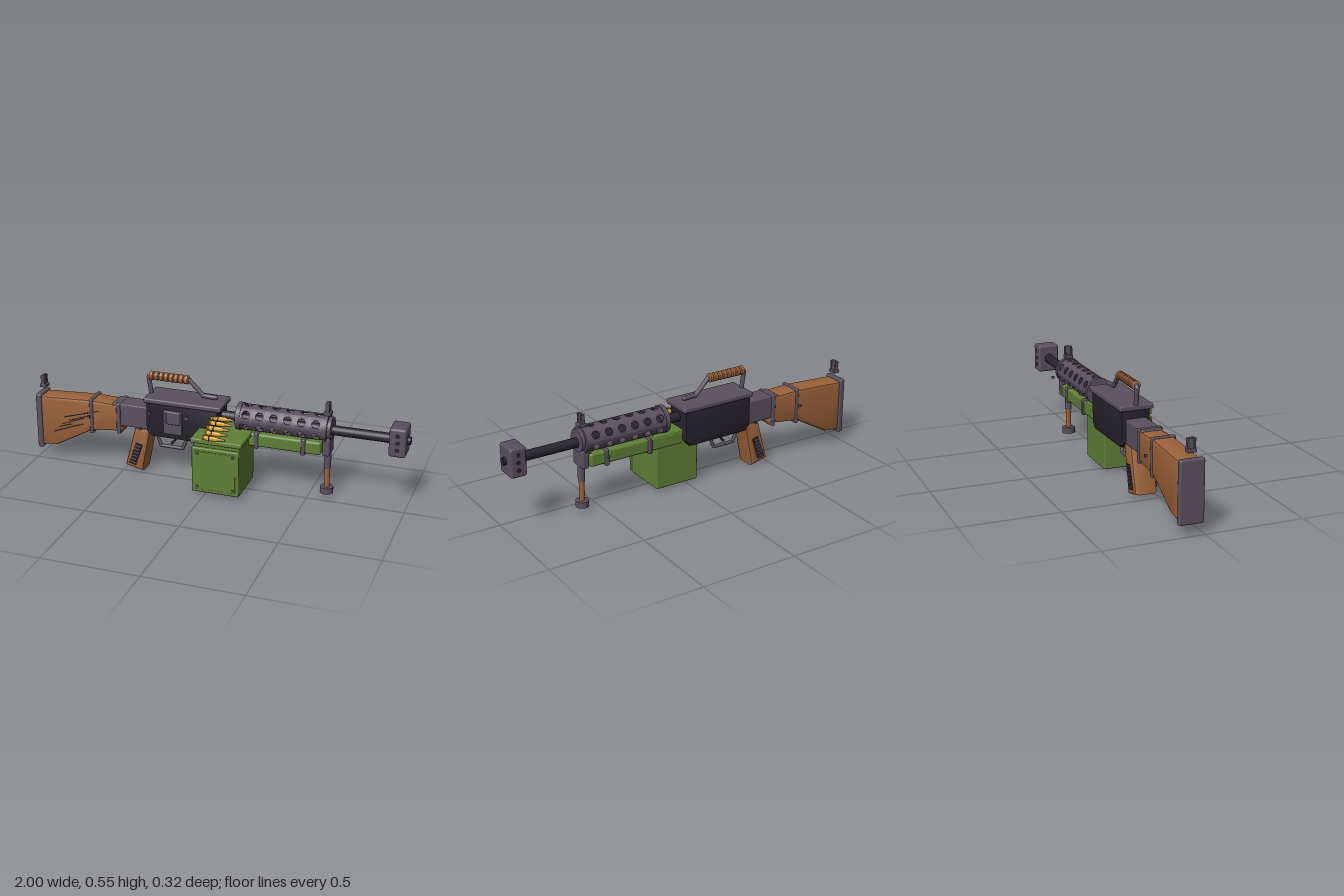
import * as THREE from 'three';
import { toCreasedNormals } from 'three/addons/utils/BufferGeometryUtils.js';
import { RoundedBoxGeometry } from 'three/addons/geometries/RoundedBoxGeometry.js';
import { ParametricGeometry } from 'three/addons/geometries/ParametricGeometry.js';

const mat = (color, side = THREE.FrontSide) => new THREE.MeshStandardMaterial({ color, side });
const STEEL = mat(0x5a505e), STEEL_SHELL = mat(0x5a505e, THREE.DoubleSide), BLACK = mat(0x26232c);
const WOOD = mat(0x9c623a), GREEN = mat(0x5f7f36), BRASS = mat(0xd9a02a), COPPER = mat(0xa8701f);
const Z = -0.065; // centre plane of the weapon
const BORE = 0.363;

export function createModel() {
  const root = new THREE.Group();

  const add = (name, geo, material, x = 0, y = 0, z = 0) => {
    const mesh = new THREE.Mesh(geo, material);
    mesh.name = name;
    mesh.position.set(x, y, z);
    root.add(mesh);
    return mesh;
  };
  // Rounded box given by its limits on each axis
  const box = (name, material, [x0, x1], [y0, y1], [z0, z1], r = 0.006) =>
    add(name, new RoundedBoxGeometry(x1 - x0, y1 - y0, z1 - z0, 2, r), material,
      (x0 + x1) / 2, (y0 + y1) / 2, (z0 + z1) / 2);
  // Cylinder along x, y or z, centred on a point
  const rod = (name, material, axis, r, len, x, y, z, sides = 24) => {
    const g = new THREE.CylinderGeometry(r, r, len, sides);
    if (axis === 'x') g.rotateZ(-Math.PI / 2);
    if (axis === 'z') g.rotateX(Math.PI / 2);
    return add(name, g, material, x, y, z);
  };
  // Side profile extruded across z, with its bevel inside the outline
  const slab = (name, material, pts, z0, z1, bevel) => {
    const shape = new THREE.Shape(pts.map(p => new THREE.Vector2(...p)));
    const g = new THREE.ExtrudeGeometry(shape, {
      depth: z1 - z0 - 2 * bevel, bevelThickness: bevel, bevelSize: bevel, bevelOffset: -bevel, bevelSegments: 2,
    });
    return add(name, toCreasedNormals(g, 0.5), material, 0, 0, z0 + bevel);
  };
  // Bent round bar through points in the centre plane
  const bar = (name, material, pts, r) => {
    const path = new THREE.CurvePath();
    const v = pts.map(p => new THREE.Vector3(p[0], p[1], Z));
    for (let i = 1; i < v.length; i++) path.add(new THREE.LineCurve3(v[i - 1], v[i]));
    add(name, new THREE.TubeGeometry(path, 48, r, 10), material);
    for (const p of v) add(name + 'Joint', new THREE.SphereGeometry(r, 10, 8), material, p.x, p.y, p.z);
  };

  // Stock with butt plate and bands
  slab('stock', WOOD, [[-0.975, 0.35], [-0.975, 0.07], [-0.89, 0.08], [-0.69, 0.19], [-0.51, 0.215],
    [-0.51, 0.36], [-0.68, 0.367]], -0.123, -0.01, 0.014);
  box('buttPlate', STEEL, [-1, -0.968], [0.055, 0.362], [-0.128, -0.004], 0.01);
  box('stockBandRear', STEEL, [-0.69, -0.67], [0.18, 0.374], [-0.128, -0.004]);
  box('stockBandFront', STEEL, [-0.537, -0.515], [0.2, 0.371], [-0.128, -0.004]);
  for (const [x0, y0, x1, y1] of [[-0.85, 0.21, -0.72, 0.26], [-0.9, 0.16, -0.73, 0.225],
    [-0.84, 0.25, -0.64, 0.31], [-0.81, 0.235, -0.7, 0.275], [-0.87, 0.19, -0.8, 0.215]]) {
    const g = new THREE.BoxGeometry(Math.hypot(x1 - x0, y1 - y0), 0.005, 0.004);
    add('stockScratch', g, BLACK, (x0 + x1) / 2, (y0 + y1) / 2, -0.01).rotation.z = Math.atan2(y1 - y0, x1 - x0);
  }

  // Receiver, cover and side plate
  box('receiverNeck', STEEL, [-0.56, -0.35], [0.245, 0.368], [-0.12, -0.012]);
  slab('receiver', BLACK, [[-0.365, 0.42], [-0.365, 0.25], [-0.335, 0.22], [0, 0.218], [0.03, 0.25],
    [0.03, 0.42]], -0.142, 0.01, 0.014);
  box('topCover', STEEL, [-0.372, 0.045], [0.408, 0.435], [-0.152, 0.023], 0.008);
  box('sidePlate', STEEL, [-0.265, -0.165], [0.25, 0.38], [0, 0.02]);
  box('sidePlateLatch', STEEL, [-0.245, -0.17], [0.31, 0.38], [0.018, 0.03]);
  for (const x of [-0.345, -0.14]) rod('sidePin', STEEL, 'z', 0.008, 0.006, x, 0.35, 0.012, 10);

  // Grip with ridged panels
  slab('grip', WOOD, [[-0.435, 0.25], [-0.495, 0.025], [-0.395, 0], [-0.345, 0.25]], -0.125, -0.005, 0.02);
  for (const z of [-0.126, -0.004]) {
    slab('gripPanel', BLACK, [[-0.428, 0.165], [-0.47, 0.045], [-0.432, 0.037], [-0.392, 0.155]], z - 0.004, z + 0.004, 0.002);
    for (let i = 0; i < 6; i++)
      add('gripRidge', new THREE.BoxGeometry(0.03, 0.009, 0.014), STEEL, -0.445 + i * 0.0065, 0.055 + i * 0.019, z).rotation.z = -0.25;
  }

  // Trigger and guard
  bar('triggerGuard', STEEL, [[-0.34, 0.225], [-0.31, 0.142], [-0.19, 0.142], [-0.155, 0.225]], 0.009);
  bar('trigger', BLACK, [[-0.225, 0.225], [-0.232, 0.185], [-0.25, 0.162]], 0.007);

  // Carrying handle
  bar('carryHandle', STEEL, [[-0.36, 0.435], [-0.372, 0.52], [-0.36, 0.53], [-0.15, 0.53], [-0.075, 0.455], [-0.008, 0.453]], 0.012);
  const ribs = [new THREE.Vector2(0, -0.108)];
  for (let i = 0; i < 8; i++) {
    const a = -0.108 + i * 0.027;
    for (const [r, d] of [[0.016, 0], [0.023, 0.004], [0.023, 0.021], [0.016, 0.025]]) ribs.push(new THREE.Vector2(r, a + d));
  }
  ribs.push(new THREE.Vector2(0, 0.107));
  const ribbed = toCreasedNormals(new THREE.LatheGeometry(ribs, 18), 0.5);
  add('handleGrip', ribbed.rotateZ(-Math.PI / 2), WOOD, -0.258, 0.53, Z);

  // Barrel and muzzle block
  rod('barrel', BLACK, 'x', 0.025, 0.91, 0.46, BORE, Z);
  box('muzzleBlock', STEEL, [0.9, 0.985], [0.288, 0.438], [-0.123, -0.007], 0.012);
  rod('bore', BLACK, 'x', 0.02, 0.02, 0.99, BORE, Z);
  for (const z of [-0.123, -0.007]) for (const y of [0.325, BORE, 0.401])
    rod('muzzlePort', BLACK, 'z', 0.011, 0.003, 0.943, y, z, 14);

  // Perforated shroud: each cell is a curved patch around one round hole
  const R = 0.067, T = 0.007, CELL = 0.0725, HALF = Math.PI / 6;
  const cell = (u, v, out) => {
    const a = u * Math.PI * 2, c = Math.cos(a), s = Math.sin(a), ring = Math.round(v * 3);
    const k = 1 / Math.max(Math.abs(c), Math.abs(s));
    const edge = ring === 0 || ring === 3;
    const r = ring < 2 ? R : R - T;
    const x = edge ? c * k * CELL / 2 : c * 0.02;
    const t = edge ? s * k * HALF : s * 0.02 / R;
    out.set(x, r * Math.cos(t), r * Math.sin(t));
  };
  const cellGeo = toCreasedNormals(new ParametricGeometry(cell, 24, 3), 0.6);
  for (let i = 0; i < 6; i++) for (let j = 0; j < 6; j++)
    add('shroudCell', cellGeo, STEEL_SHELL, 0.17 + i * CELL, 0.373, Z).rotation.x = j * Math.PI / 3;
  rod('shroudRearCollar', STEEL, 'x', 0.071, 0.024, 0.127, 0.373, Z, 32);
  rod('shroudFrontCollar', STEEL, 'x', 0.071, 0.022, 0.578, 0.373, Z, 32);
  rod('shroudFrontCap', STEEL, 'x', 0.058, 0.03, 0.592, 0.373, Z, 32);

  // Fore-end under the shroud
  box('foreEnd', GREEN, [0.03, 0.56], [0.235, 0.305], [-0.115, -0.015], 0.012);
  for (const x of [0.225, 0.47]) box('foreEndClip', STEEL, [x - 0.011, x + 0.011], [0.226, 0.312], [-0.122, -0.008]);

  // Folding leg
  box('legMount', STEEL, [0.567, 0.604], [0.235, 0.33], [-0.113, -0.017], 0.008);
  rod('legSleeve', STEEL, 'y', 0.018, 0.09, 0.587, 0.198, Z, 16);
  rod('legShaft', WOOD, 'y', 0.014, 0.12, 0.587, 0.1, Z, 16);
  rod('legFoot', STEEL, 'y', 0.034, 0.032, 0.587, 0.034, Z, 20);

  // Sights: a base, a post and a rounded head
  for (const [name, x, y] of [['rearSight', -0.972, 0.388], ['frontSight', 0.58, 0.442]]) {
    box(name + 'Base', STEEL, [x - 0.019, x + 0.019], [y, y + 0.018], [Z - 0.022, Z + 0.022], 0.004);
    for (const s of [-1, 1])
      box(name + 'Ear', STEEL, [x - 0.011, x + 0.011], [y + 0.014, y + 0.066], [Z + s * 0.016 - 0.005, Z + s * 0.016 + 0.005], 0.003);
    box(name + 'Post', STEEL, [x - 0.008, x + 0.008], [y + 0.01, y + 0.068], [Z - 0.013, Z + 0.013], 0.003);
  }

  // Ammunition box with lid, front panel and screws
  box('ammoBox', GREEN, [-0.06, 0.185], [0.013, 0.295], [-0.11, 0.135], 0.008);
  box('ammoBoxLid', GREEN, [-0.073, 0.197], [0.283, 0.308], [-0.112, 0.145], 0.006);
  box('ammoBoxPanel', GREEN, [-0.062, 0.187], [0.02, 0.265], [0.13, 0.153], 0.006);
  box('ammoBoxInset', GREEN, [-0.045, 0.17], [0.038, 0.247], [0.15, 0.156], 0.002);
  for (const x of [-0.032, 0.157]) for (const y of [0.052, 0.235])
    rod('panelScrew', STEEL, 'z', 0.008, 0.01, x, y, 0.157, 10);

  // Belt of cartridges climbing into the receiver
  const round = p => new THREE.LatheGeometry(p.map(q => new THREE.Vector2(...q)), 16).rotateZ(-Math.PI / 2);
  const caseGeo = toCreasedNormals(round([[0, 0], [0.012, 0], [0.012, 0.006], [0.01, 0.008], [0.012, 0.011],
    [0.012, 0.068], [0.008, 0.082], [0, 0.082]]), 0.5);
  const tipGeo = round([[0.008, 0.08], [0.008, 0.095], [0.005, 0.112], [0, 0.122]]);
  for (let i = 0; i < 5; i++) {
    const y = 0.32 + i * 0.0123, z = 0.143 - i * 0.0353;
    add('cartridgeCase', caseGeo, BRASS, -0.005, y, z);
    add('bulletTip', tipGeo, COPPER, -0.005, y, z);
    add('beltLink', new THREE.TorusGeometry(0.0125, 0.0025, 6, 16).rotateY(Math.PI / 2), BLACK, 0.03, y, z);
  }

  // Small square pins standing off both sides
  for (const [x, y] of [[-0.68, 0.29], [-0.39, 0.262], [0.16, 0.36], [0.585, 0.34]])
    for (const z of [-0.153, 0.024]) add('sideStud', new THREE.BoxGeometry(0.012, 0.012, 0.012), STEEL, x, y, z);

  return root;
}
